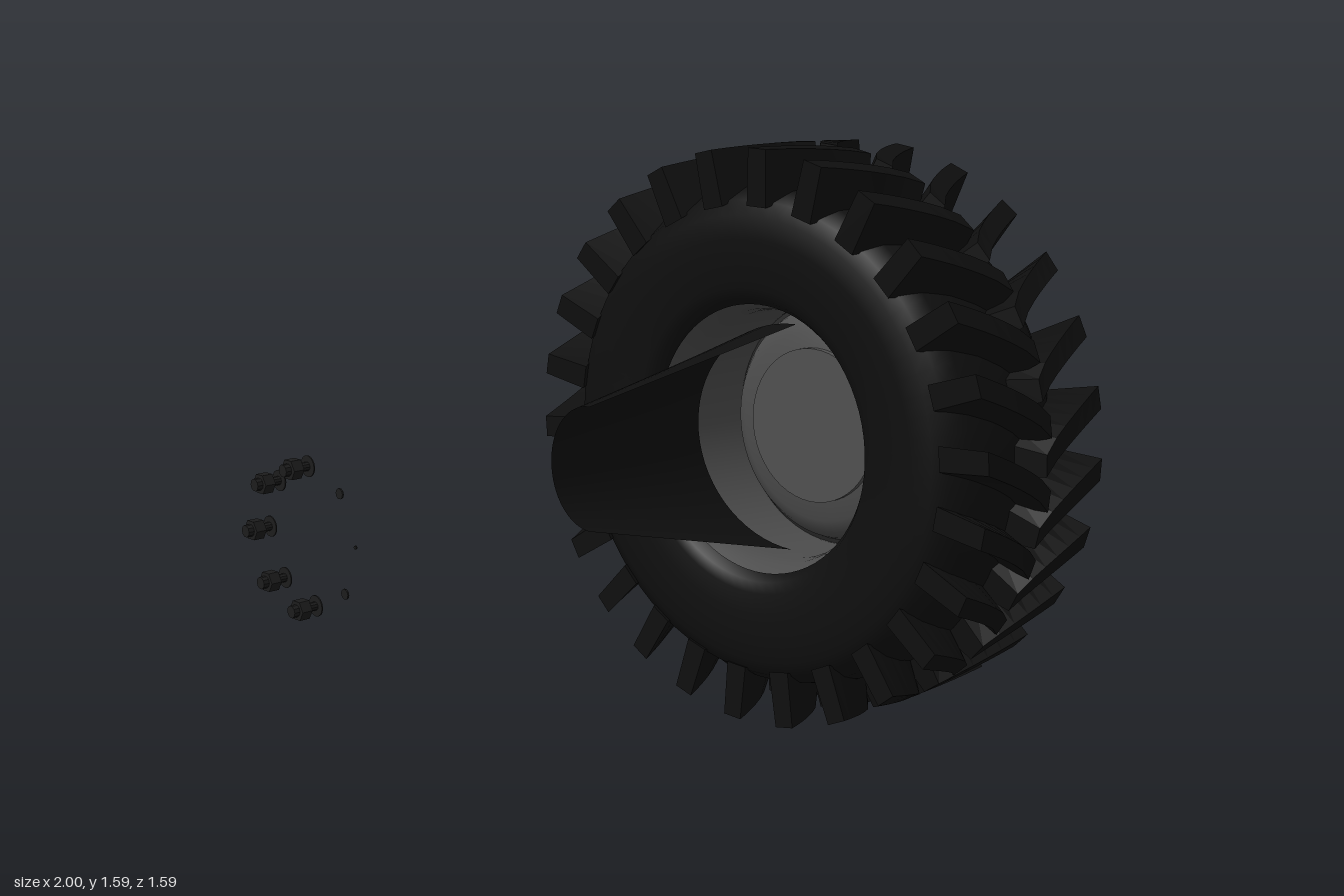
import * as THREE from 'three';

const AXLE_Y = 0.797, TYRE_R = 0.793, MID_X = 0.745, HALF_W = 0.255, LUGS = 26;

const mat = (color, opts = {}) => new THREE.MeshStandardMaterial({ color, ...opts });

function add(parent, name, geometry, material) {
  const mesh = new THREE.Mesh(geometry, material);
  mesh.name = name;
  parent.add(mesh);
  return mesh;
}

// Revolve [radius, x] points around the x axis
function latheX(points, segments = 64) {
  const g = new THREE.LatheGeometry(points.map(([r, x]) => new THREE.Vector2(r, x)), segments);
  return g.rotateZ(-Math.PI / 2);
}

// Cylinder along x between two positions
function rodX(radius, x0, x1, sides) {
  const g = new THREE.CylinderGeometry(radius, radius, Math.abs(x1 - x0), sides);
  return g.rotateZ(-Math.PI / 2).translate((x0 + x1) / 2, 0, 0);
}

// One curved tread bar from the centre line to the shoulder (side = 1 or -1)
function lugGeometry(side) {
  const steps = 6, pos = [], index = [];
  const lerp = THREE.MathUtils.lerp;
  const put = (x, r, a) => pos.push(x, r * Math.cos(a), r * Math.sin(a));
  const tri = (a, b, c) => (side > 0 ? index.push(a, b, c) : index.push(a, c, b));
  for (let i = 0; i <= steps; i++) {
    const s = i / steps;
    const a = 0.09 - 0.175 * Math.pow(s, 0.75);
    const xTop = MID_X + side * lerp(-0.012, HALF_W, s);
    const xBase = MID_X + side * lerp(-0.02, HALF_W - 0.008, s);
    const top = TYRE_R - 0.006 * s * s;
    const base = lerp(0.69, 0.635, s * s);
    const wTop = lerp(0.036, 0.038, s), wBase = lerp(0.062, 0.052, s);
    put(xTop, top, a + wTop);
    put(xTop, top, a - wTop);
    put(xBase, base, a - wBase);
    put(xBase, base, a + wBase);
  }
  for (let i = 0; i < steps; i++) {
    for (let j = 0; j < 4; j++) {
      const p = i * 4 + j, q = i * 4 + (j + 1) % 4;
      tri(p, p + 4, q + 4);
      tri(p, q + 4, q);
    }
  }
  const e = steps * 4;
  tri(0, 1, 2); tri(0, 2, 3);
  tri(e, e + 2, e + 1); tri(e, e + 3, e + 2);
  const g = new THREE.BufferGeometry();
  g.setAttribute('position', new THREE.Float32BufferAttribute(pos, 3));
  g.setIndex(index);
  g.computeVertexNormals();
  return g;
}

// Ring of five nuts and three stud ends; dir is the outward x direction
function boltRing(name, baseX, dir, material) {
  const ring = new THREE.Group();
  ring.name = name;
  for (let i = 0; i < 8; i++) {
    const a = THREE.MathUtils.degToRad(i * 45 + 2);
    const bolt = new THREE.Group();
    bolt.name = i < 5 ? 'wheelNut' : 'wheelStud';
    bolt.position.set(baseX, 0.157 * Math.cos(a), -0.157 * Math.sin(a));
    if (i < 5) {
      add(bolt, 'washer', rodX(0.024, 0, dir * 0.003, 16), material);
      add(bolt, 'shank', rodX(0.01, 0, dir * 0.03, 10), material);
      add(bolt, 'hexNut', rodX(0.024, dir * 0.028, dir * 0.054, 6), material);
      add(bolt, 'boltTip', rodX(0.014, dir * 0.054, dir * 0.068, 10), material);
    } else {
      add(bolt, 'studEnd', rodX(i === 6 ? 0.004 : 0.012, 0, dir * 0.004, 10), material);
    }
    ring.add(bolt);
  }
  ring.position.y = AXLE_Y + 0.006;
  return ring;
}

export function createModel() {
  const model = new THREE.Group();
  const rubber = mat(0x0e0e0e);
  const tread = mat(0x0e0e0e, { flatShading: true });
  const steel = mat(0x4c4c4c, { side: THREE.DoubleSide });
  const hubSteel = mat(0x505050);
  const seamMat = mat(0x262626, { side: THREE.DoubleSide });
  const nutMat = mat(0x1c1c1c, { flatShading: true });
  const housingMat = mat(0x0e0e0e, { side: THREE.DoubleSide });

  const wheel = new THREE.Group();
  wheel.name = 'wheel';
  wheel.position.y = AXLE_Y;
  model.add(wheel);

  // Tyre carcass: one half profile, mirrored about the centre plane
  const half = [[0.37, 0.2], [0.389, 0.228], [0.42, 0.238], [0.48, 0.246], [0.55, 0.249],
    [0.61, 0.245], [0.65, 0.226], [0.68, 0.175], [0.698, 0.1]];
  const profile = [
    ...half.map(([r, w]) => [r, MID_X - w]),
    [0.703, MID_X],
    ...half.map(([r, w]) => [r, MID_X + w]).reverse(),
  ];
  add(wheel, 'tyreCarcass', latheX(profile, 72), rubber);

  // Tread bars, the two sides staggered by half a pitch
  for (const side of [1, -1]) {
    const geometry = lugGeometry(side);
    for (let i = 0; i < LUGS; i++) {
      const lug = add(wheel, 'treadLug', geometry, tread);
      lug.rotation.x = ((i + (side > 0 ? 0 : 0.5)) / LUGS) * Math.PI * 2;
    }
  }

  // Rim: barrel flaring to both beads, a dark seam, and the dished centre
  add(wheel, 'rimBarrel', latheX([[0.39, 0.518], [0.384, 0.535], [0.366, 0.565], [0.352, 0.605],
    [0.346, 0.65], [0.346, 0.86], [0.352, 0.89], [0.364, 0.925], [0.38, 0.958],
    [0.388, 0.973], [0.393, 0.968]]), steel);
  add(wheel, 'rimSeam', latheX([[0.333, 0.868], [0.348, 0.872]]), seamMat);
  add(wheel, 'rimDish', latheX([[0.336, 0.87], [0.326, 0.845], [0.305, 0.82],
    [0.27, 0.802], [0.21, 0.792]]), steel);
  add(wheel, 'hubPlate', rodX(0.218, 0.775, 0.796, 48), hubSteel).position.y = 0.006;

  // Nuts on this wheel, and the matching set at the opposite end of the axle
  model.add(boltRing('wheelNuts', 0.795, 1, nutMat));
  model.add(boltRing('oppositeWheelNuts', -0.932, -1, nutMat));

  // Rear half-shell of the tapered axle housing
  const x0 = -0.07, x1 = 0.66;
  const shell = new THREE.CylinderGeometry(0.316, 0.16, x1 - x0, 32, 4, true, Math.PI / 2, Math.PI);
  shell.rotateZ(-Math.PI / 2).translate((x0 + x1) / 2, 0, 0);
  const p = shell.attributes.position;
  for (let i = 0; i < p.count; i++) {
    const t = (p.getX(i) - x0) / 0.56;
    p.setY(i, p.getY(i) + 0.81 - 0.016 * t);
    p.setZ(i, p.getZ(i) * (0.875 + 0.195 * t) - 0.02 + 0.04 * t);
  }
  shell.computeVertexNormals();
  add(model, 'axleHousing', shell, housingMat);

  return model;
}
